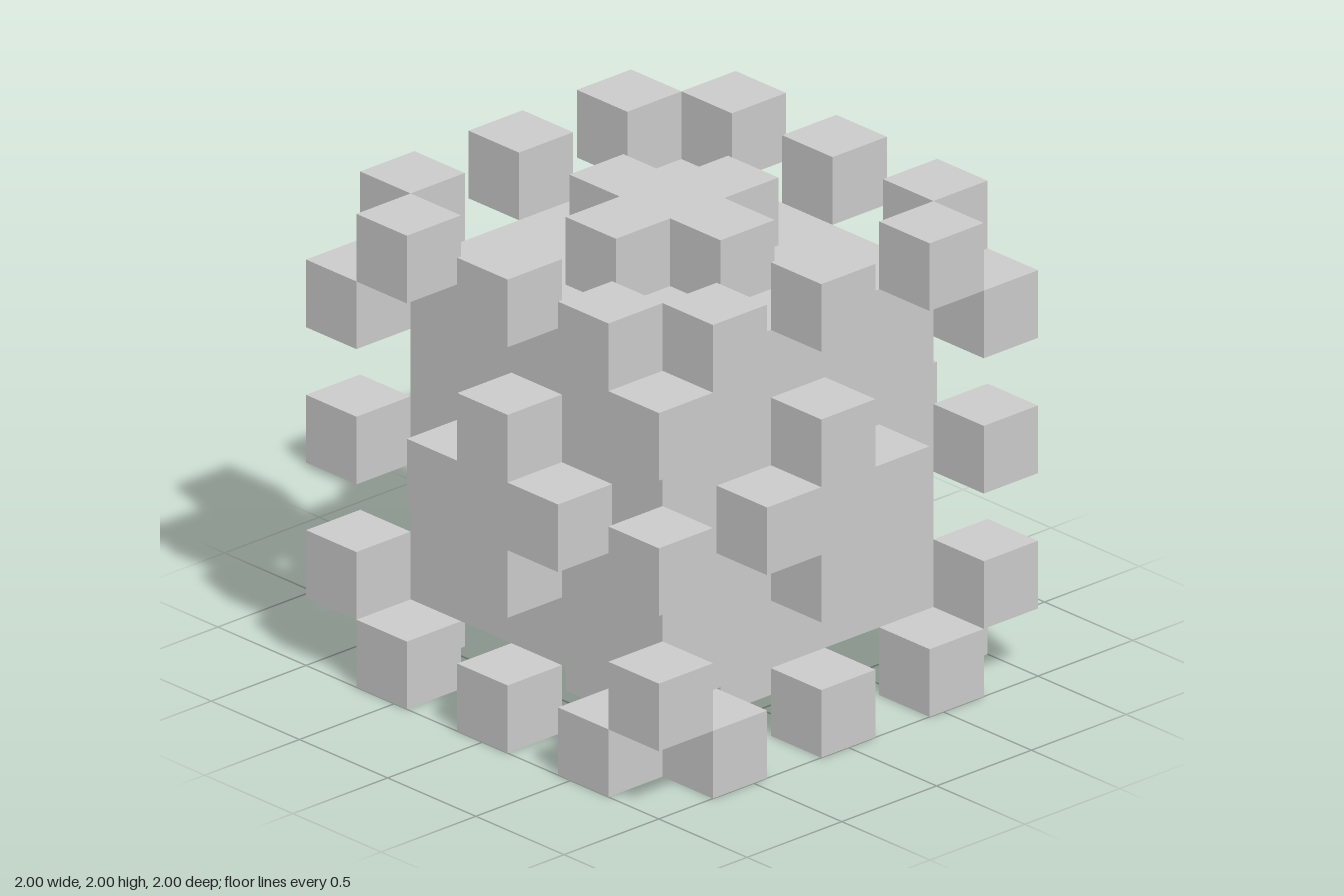
import * as THREE from 'three';

export function createModel() {
  const u = 2 / 7; // one cell of the 7 x 7 x 7 lattice
  const material = new THREE.MeshStandardMaterial({ color: 0xcccccc, flatShading: true });
  const model = new THREE.Group();
  model.name = 'latticeCube';
  const body = new THREE.Group();
  body.name = 'body';
  body.position.y = 1;
  model.add(body);

  const add = (name, geometry, parent = body) => {
    const mesh = new THREE.Mesh(geometry, material);
    mesh.name = name;
    parent.add(mesh);
    return mesh;
  };

  // Solid core, five cells wide
  add('core', new THREE.BoxGeometry(5 * u, 5 * u, 5 * u));

  // Raised cross, one cell thick, on each of the six faces
  const a = u / 2, b = 1.5 * u;
  const outline = [
    [a, -b], [a, -a], [b, -a], [b, a], [a, a], [a, b],
    [-a, b], [-a, a], [-b, a], [-b, -a], [-a, -a], [-a, -b],
  ].map(([x, y]) => new THREE.Vector2(x, y));
  const cross = new THREE.ExtrudeGeometry(new THREE.Shape(outline), { depth: u, bevelEnabled: false });
  cross.translate(0, 0, 2.5 * u);
  const faces = {
    front: [0, 0], back: [0, Math.PI],
    left: [0, Math.PI / 2], right: [0, -Math.PI / 2],
    top: [-Math.PI / 2, 0], bottom: [Math.PI / 2, 0],
  };
  for (const [side, [rx, ry]] of Object.entries(faces)) {
    add(side + 'Cross', cross).rotation.set(rx, ry, 0);
  }

  // Three separate cubes along each of the twelve outer edges
  const cube = new THREE.BoxGeometry(u, u, u);
  ['x', 'y', 'z'].forEach((axis, n) => {
    const edges = new THREE.Group();
    edges.name = axis + 'EdgeCubes';
    body.add(edges);
    for (const p of [-3, 3]) for (const q of [-3, 3]) for (const along of [-2, 0, 2]) {
      const cell = [];
      cell[n] = along;
      cell[(n + 1) % 3] = p;
      cell[(n + 2) % 3] = q;
      add('edgeCube', cube, edges).position.fromArray(cell).multiplyScalar(u);
    }
  });

  return model;
}
